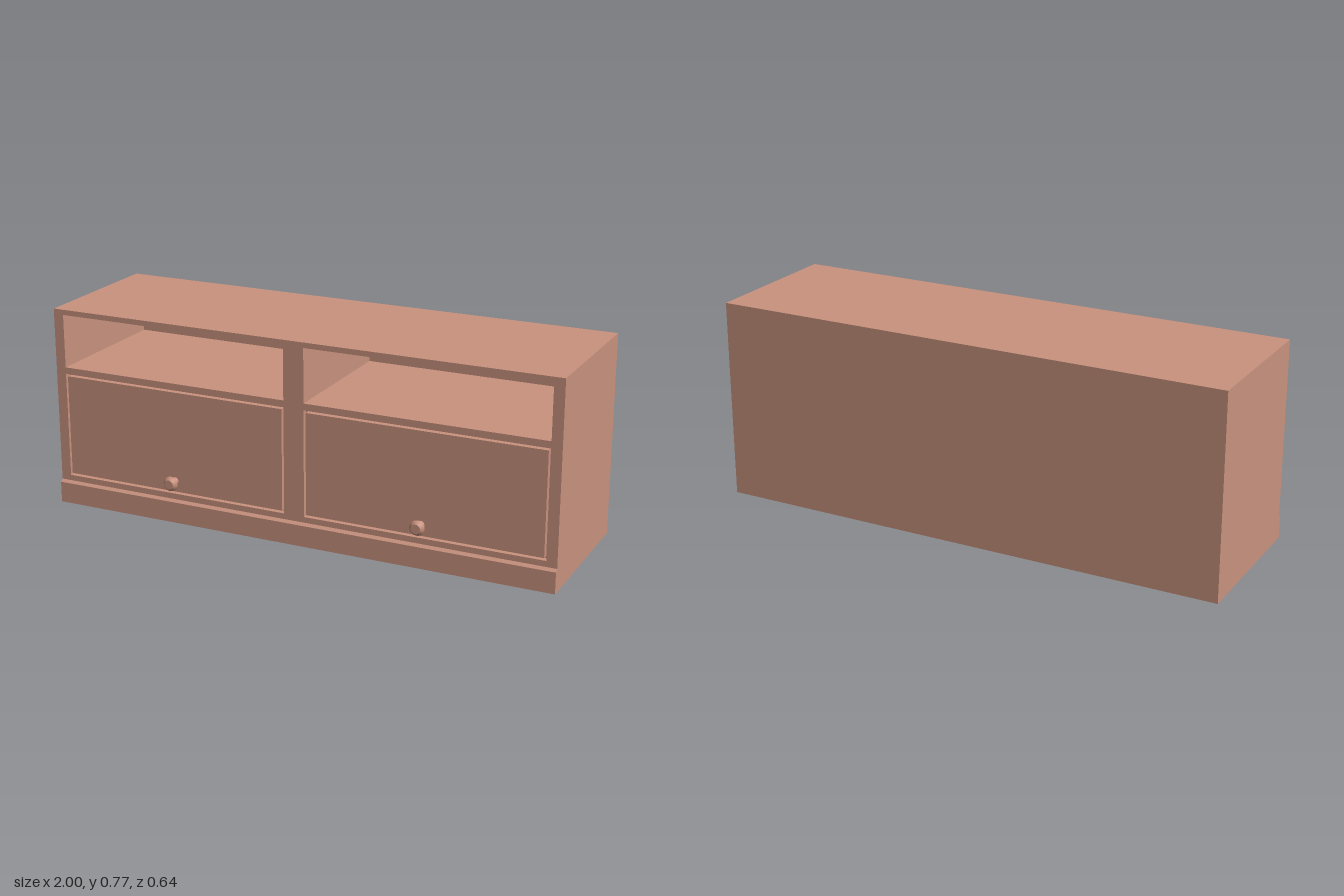
import * as THREE from 'three';

const FRONT = 0.272, BACK = -0.318, BACK_THICK = 0.02;

function rectPoints(Path, x0, x1, y0, y1) {
  const p = new Path();
  p.moveTo(x0, y0);
  p.lineTo(x1, y0);
  p.lineTo(x1, y1);
  p.lineTo(x0, y1);
  p.closePath();
  return p;
}

export function createModel() {
  const group = new THREE.Group();
  const wood = new THREE.MeshStandardMaterial({ color: 0xc9927e });
  wood.name = 'wood';

  const add = (name, geometry, x = 0, y = 0, z = 0) => {
    const mesh = new THREE.Mesh(geometry, wood);
    mesh.name = name;
    mesh.position.set(x, y, z);
    group.add(mesh);
    return mesh;
  };
  const addBox = (name, x0, x1, y0, y1, z0, z1) =>
    add(name, new THREE.BoxGeometry(x1 - x0, y1 - y0, z1 - z0),
      (x0 + x1) / 2, (y0 + y1) / 2, (z0 + z1) / 2);

  // Carcass with two open niches above two door openings
  const face = rectPoints(THREE.Shape, -1, 1, 0, 0.77);
  for (const [x0, x1] of [[-0.96, -0.04], [0.04, 0.96]]) {
    face.holes.push(rectPoints(THREE.Path, x0, x1, 0.545, 0.75));
    face.holes.push(rectPoints(THREE.Path, x0, x1, 0.112, 0.52));
  }
  const zInner = BACK + BACK_THICK;
  add('carcass', new THREE.ExtrudeGeometry(face, { depth: FRONT - zInner, bevelEnabled: false }), 0, 0, zInner);
  addBox('backPanel', -1, 1, 0, 0.77, BACK, zInner);

  // Plinth moulding with a chamfered top edge
  const plinth = new THREE.Shape([
    [FRONT, 0], [0.284, 0], [0.284, 0.081], [FRONT, 0.09],
  ].map(([z, y]) => new THREE.Vector2(-z, y)).reverse());
  const plinthGeometry = new THREE.ExtrudeGeometry(plinth, { depth: 2, bevelEnabled: false });
  plinthGeometry.rotateY(Math.PI / 2); // profile -z axis to world +z, length along x
  plinthGeometry.translate(-1, 0, 0);
  add('plinth', plinthGeometry);

  // Turned knob, faceted along its profile and smooth around it
  const rings = [[0.015, 0], [0.015, 0.018], [0.028, 0.031], [0.028, 0.037], [0.018, 0.048], [0, 0.048]];
  const makeKnob = (x) => {
    const knob = new THREE.Group();
    knob.name = 'knob';
    for (let i = 0; i < rings.length - 1; i++) {
      const profile = [rings[i], rings[i + 1]].map(([r, y]) => new THREE.Vector2(r, y));
      const mesh = new THREE.Mesh(new THREE.LatheGeometry(profile, 20), wood);
      mesh.name = 'knobBand';
      knob.add(mesh);
    }
    knob.rotation.x = Math.PI / 2;
    knob.position.set(x, 0.163, FRONT);
    group.add(knob);
  };

  // Flush doors, set in their openings with a narrow gap
  for (const side of [-1, 1]) {
    const cx = side * 0.5;
    addBox('doorRecess', cx - 0.46, cx + 0.46, 0.112, 0.52, zInner, 0.25);
    addBox('door', cx - 0.452, cx + 0.452, 0.121, 0.511, 0.25, FRONT);
    makeKnob(side * 0.496);
  }
  return group;
}
